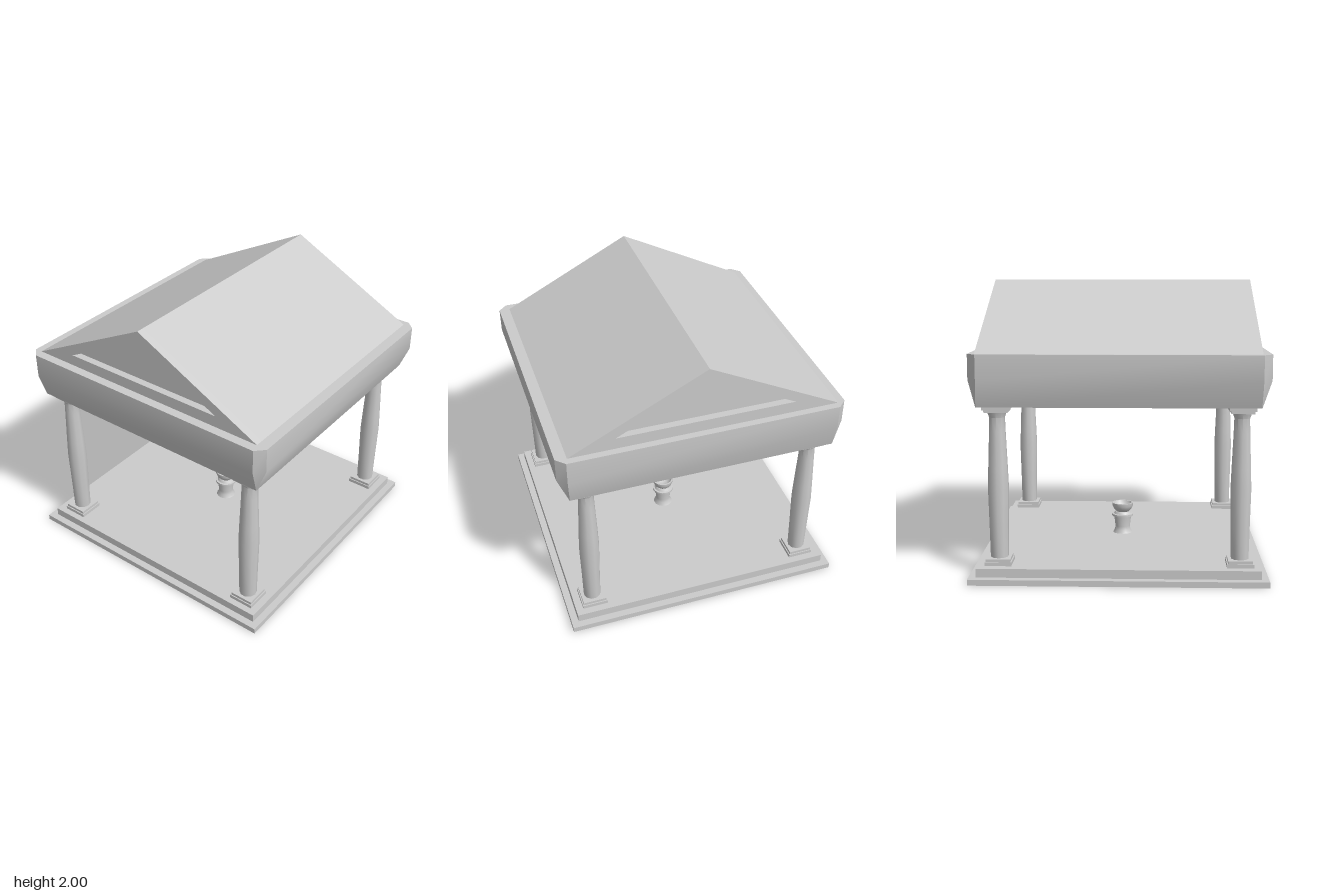
import * as THREE from 'three';
import { toCreasedNormals } from 'three/addons/utils/BufferGeometryUtils.js';

const grey = new THREE.MeshStandardMaterial({ color: 0xcccccc });
const greyDouble = new THREE.MeshStandardMaterial({ color: 0xcccccc, side: THREE.DoubleSide });

function add(parent, name, geometry, x = 0, y = 0, z = 0, material = grey) {
  const mesh = new THREE.Mesh(geometry, material);
  mesh.name = name;
  mesh.position.set(x, y, z);
  parent.add(mesh);
  return mesh;
}

// Box standing on height y
function slab(parent, name, w, h, d, x, y, z) {
  return add(parent, name, new THREE.BoxGeometry(w, h, d), x, y + h / 2, z);
}

// Lathe from [radius, height] pairs, sharp bends kept
function turned(points, sides) {
  const g = new THREE.LatheGeometry(points.map(([r, y]) => new THREE.Vector2(r, y)), sides);
  return toCreasedNormals(g, 0.66);
}

// Rectangle ring with cut corners, running from +x towards +z
function ring({ y, cx, cz, hx, hz, cut }) {
  return [
    [hx, -hz + cut], [hx, hz - cut], [hx - cut, hz], [-hx + cut, hz],
    [-hx, hz - cut], [-hx, -hz + cut], [-hx + cut, -hz], [hx - cut, -hz],
  ].map(([x, z]) => [cx + x, y, cz + z]);
}

// Closed solid through rings listed from bottom to top
function loft(rings) {
  const positions = rings.flat(2);
  const index = [];
  const n = rings[0].length;
  for (let r = 0; r < rings.length - 1; r++) {
    for (let i = 0; i < n; i++) {
      const a = r * n + i, b = r * n + (i + 1) % n;
      index.push(a, a + n, b, b, a + n, b + n);
    }
  }
  const top = (rings.length - 1) * n;
  for (let i = 1; i < n - 1; i++) {
    index.push(0, i, i + 1);
    index.push(top, top + i + 1, top + i);
  }
  const g = new THREE.BufferGeometry();
  g.setAttribute('position', new THREE.Float32BufferAttribute(positions, 3));
  g.setIndex(index);
  return toCreasedNormals(g, 0.7);
}

function triangle(Type, halfWidth, low, high) {
  const t = new Type();
  t.moveTo(-halfWidth, low);
  t.lineTo(halfWidth, low);
  t.lineTo(0, high);
  t.closePath();
  return t;
}

// Triangular prism along x, starting at x
function prism(parent, name, shape, length, x) {
  const g = new THREE.ExtrudeGeometry(shape, { depth: length, bevelEnabled: false });
  g.rotateY(Math.PI / 2);
  return add(parent, name, g, x, 0, 0);
}

function createColumn(x, z) {
  const column = new THREE.Group();
  column.name = 'column';
  slab(column, 'plinth', 0.18, 0.025, 0.18, 0, 0.1, 0);
  slab(column, 'plinthStep', 0.165, 0.02, 0.165, 0, 0.125, 0);
  add(column, 'shaft', turned([
    [0.061, 0.14], [0.065, 0.36], [0.071, 0.62], [0.066, 0.76],
    [0.056, 1.0], [0.053, 1.1], [0.068, 1.14],
  ], 10));
  slab(column, 'capitalStep', 0.155, 0.02, 0.155, 0, 1.137, 0);
  slab(column, 'capital', 0.18, 0.027, 0.18, 0, 1.155, 0);
  column.position.set(x, 0, z);
  return column;
}

export function createModel() {
  const model = new THREE.Group();
  model.name = 'pavilion';

  // Stepped floor
  slab(model, 'lowerStep', 2, 0.04, 1.985, 0, 0, -0.008);
  slab(model, 'floor', 1.9, 0.06, 1.886, 0, 0.04, -0.007);

  // Four corner columns
  for (const x of [-0.815, 0.81]) {
    for (const z of [-0.8, 0.795]) model.add(createColumn(x, z));
  }

  // Entablature: narrow underside, wide upper band with cut corners
  const band = { cx: -0.007, cz: 0.012, hx: 0.987, hz: 0.987, cut: 0.06 };
  add(model, 'entablature', loft([
    ring({ y: 1.18, cx: 0, cz: 0.003, hx: 0.932, hz: 0.923, cut: 0.001 }),
    ring({ y: 1.36, ...band }),
    ring({ y: 1.53, ...band }),
  ]));

  // Gabled roof with a sunken triangle at both ends
  const depth = 0.05, half = 0.932;
  const roof = new THREE.Group();
  roof.name = 'roof';
  prism(roof, 'roofBody', triangle(THREE.Shape, 0.923, 1.53, 2), 2 * (half - depth), -half + depth);
  const frame = triangle(THREE.Shape, 0.923, 1.53, 2);
  frame.holes.push(triangle(THREE.Path, 0.61, 1.61, 1.92));
  prism(roof, 'leftGableFrame', frame, depth, half - depth);
  prism(roof, 'rightGableFrame', frame, depth, -half);
  model.add(roof);

  // Small urn on a turned pedestal
  const urn = new THREE.Group();
  urn.name = 'urn';
  add(urn, 'pedestal', turned([
    [0, 0.1], [0.072, 0.1], [0.058, 0.125], [0.055, 0.15], [0.065, 0.23], [0, 0.23],
  ], 16));
  add(urn, 'collar', turned([
    [0, 0.228], [0.08, 0.228], [0.08, 0.243], [0.066, 0.245], [0.056, 0.262], [0, 0.262],
  ], 16));
  add(urn, 'bowl', turned([
    [0, 0.26], [0.048, 0.262], [0.066, 0.28], [0.077, 0.305], [0.079, 0.328],
    [0.068, 0.328], [0.055, 0.3], [0.03, 0.283], [0, 0.28],
  ], 16), 0, 0, 0, greyDouble);
  urn.position.set(-0.003, 0, -0.007);
  model.add(urn);

  return model;
}
